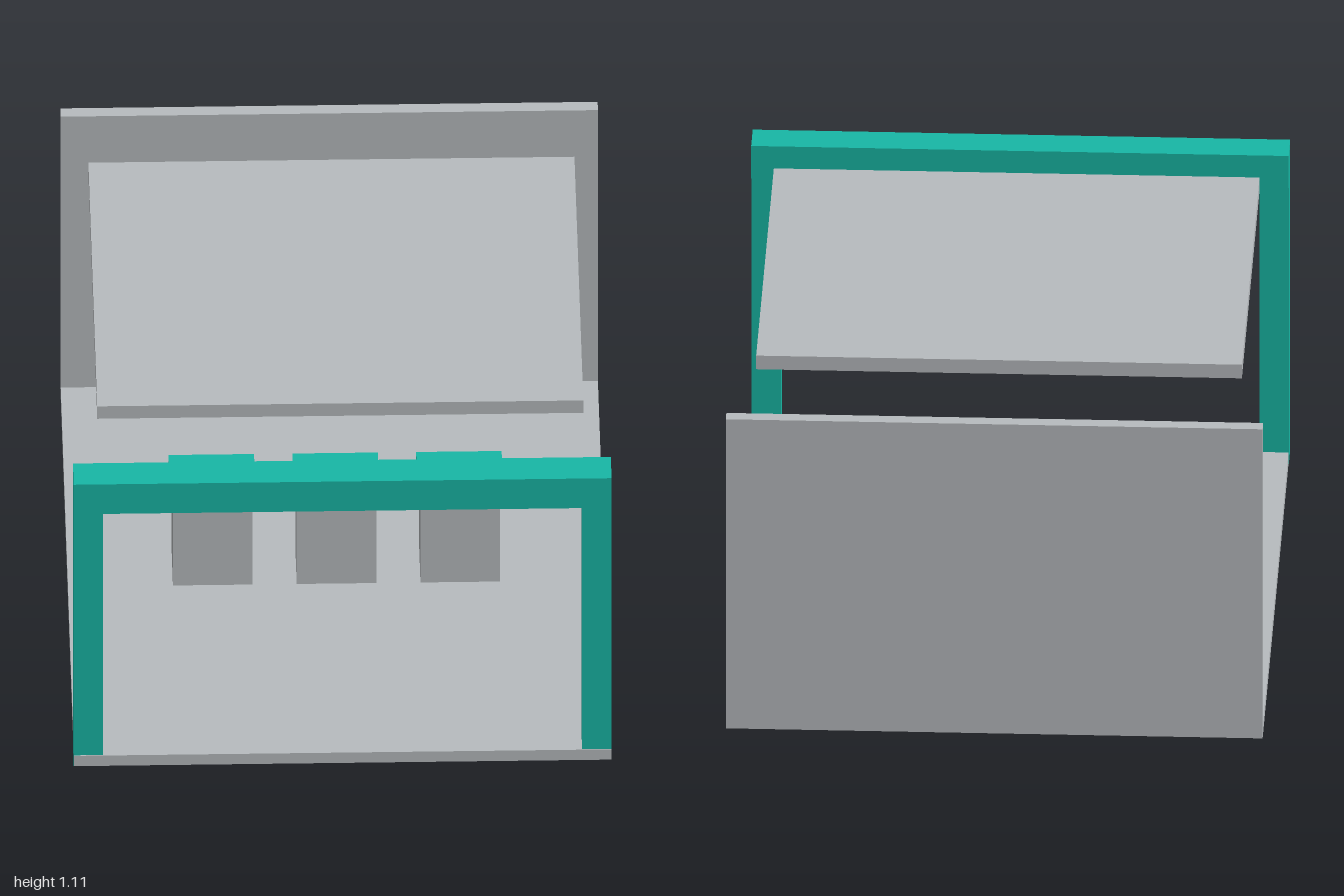
import * as THREE from 'three';

export function createModel() {
  const model = new THREE.Group();
  const grey = new THREE.MeshStandardMaterial({ color: 0xb8bcbf });
  grey.name = 'light grey';
  const teal = new THREE.MeshStandardMaterial({ color: 0x18b8a6 });
  teal.name = 'teal';

  // Box given by its extents on each axis
  function box(name, material, [x0, x1], [y0, y1], [z0, z1], parent = model) {
    const mesh = new THREE.Mesh(new THREE.BoxGeometry(x1 - x0, y1 - y0, z1 - z0), material);
    mesh.position.set((x0 + x1) / 2, (y0 + y1) / 2, (z0 + z1) / 2);
    mesh.name = name;
    parent.add(mesh);
    return mesh;
  }

  // Floor, back wall and floating ceiling panel
  box('floor', grey, [-0.829, 0.829], [0.001, 0.04], [-1, 1]);
  box('backWall', grey, [-0.829, 0.829], [0.04, 1.067], [-1, -0.956]);
  box('ceilingPanel', grey, [-0.75, 0.75], [1.065, 1.112], [-0.647, 0.647]);

  // Entrance frame: two posts, set through the floor, and a deeper beam
  const frame = new THREE.Group();
  frame.name = 'entranceFrame';
  model.add(frame);
  box('leftPost', teal, [0.739, 0.83], [0, 0.956], [0.898, 0.997], frame);
  box('rightPost', teal, [-0.83, -0.739], [0, 0.956], [0.898, 0.997], frame);
  box('beam', teal, [-0.83, 0.83], [0.956, 1.068], [0.887, 1], frame);

  // Row of display plinths with overhanging tops
  for (const x of [-0.382, 0, 0.382]) {
    const plinth = new THREE.Group();
    plinth.name = 'plinth';
    plinth.position.x = x;
    model.add(plinth);
    box('plinthBody', grey, [-0.123, 0.123], [0.04, 0.356], [-0.102, 0.102], plinth);
    box('plinthTop', teal, [-0.132, 0.132], [0.356, 0.382], [-0.112, 0.112], plinth);
  }

  return model;
}
